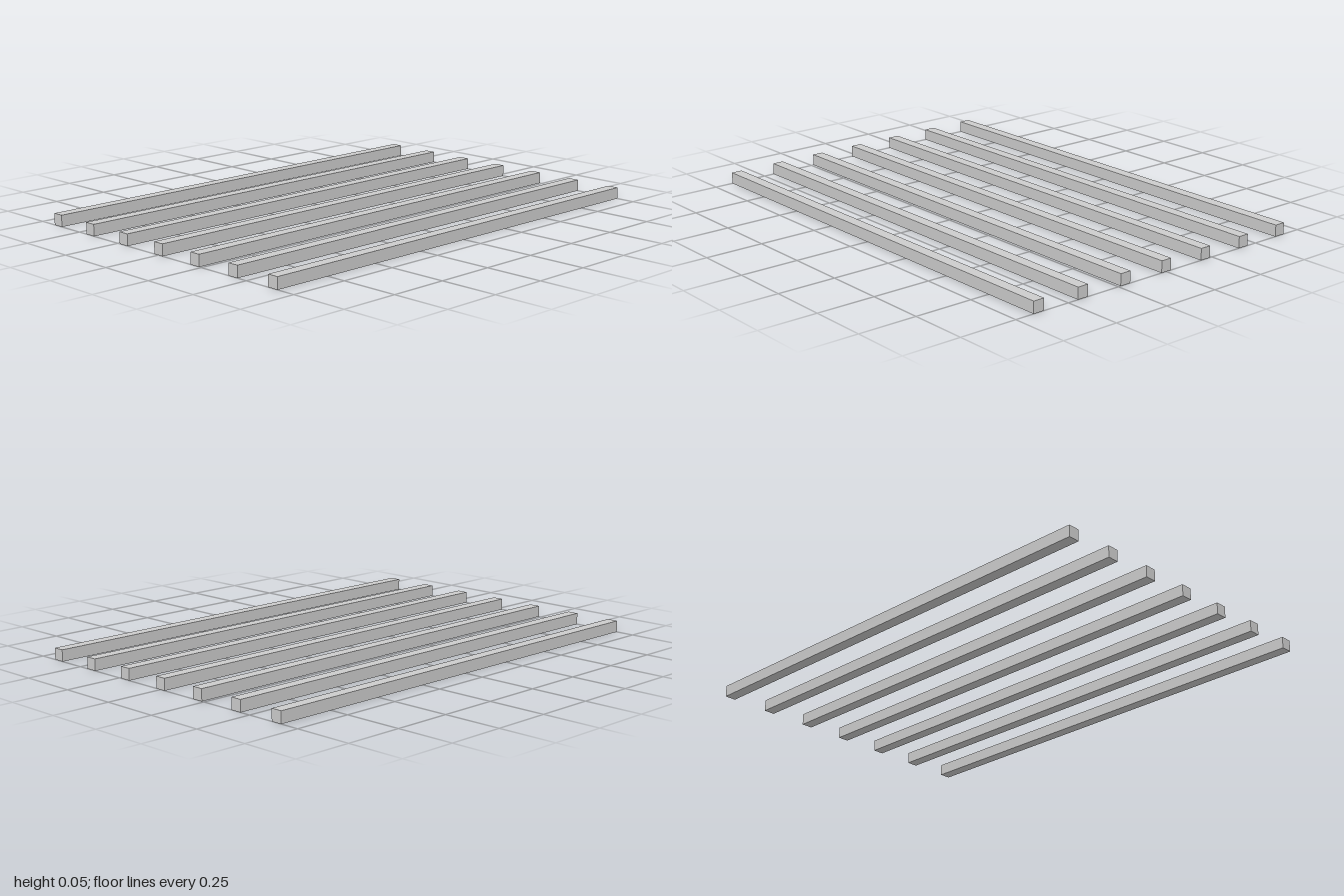
import * as THREE from 'three';

const COUNT = 7;
const SPACING = 0.214;
const THICKNESS = 0.049;
const LENGTH = 2;

export function createModel() {
  const model = new THREE.Group();
  model.name = 'slats';
  const material = new THREE.MeshStandardMaterial({ color: 0xcccccc });
  const geometry = new THREE.BoxGeometry(THICKNESS, THICKNESS, LENGTH);

  // Evenly spaced parallel square bars lying on the ground
  for (let i = 0; i < COUNT; i++) {
    const slat = new THREE.Mesh(geometry, material);
    slat.name = `slat${i + 1}`;
    slat.position.set((i - (COUNT - 1) / 2) * SPACING, THICKNESS / 2, 0);
    model.add(slat);
  }
  return model;
}
